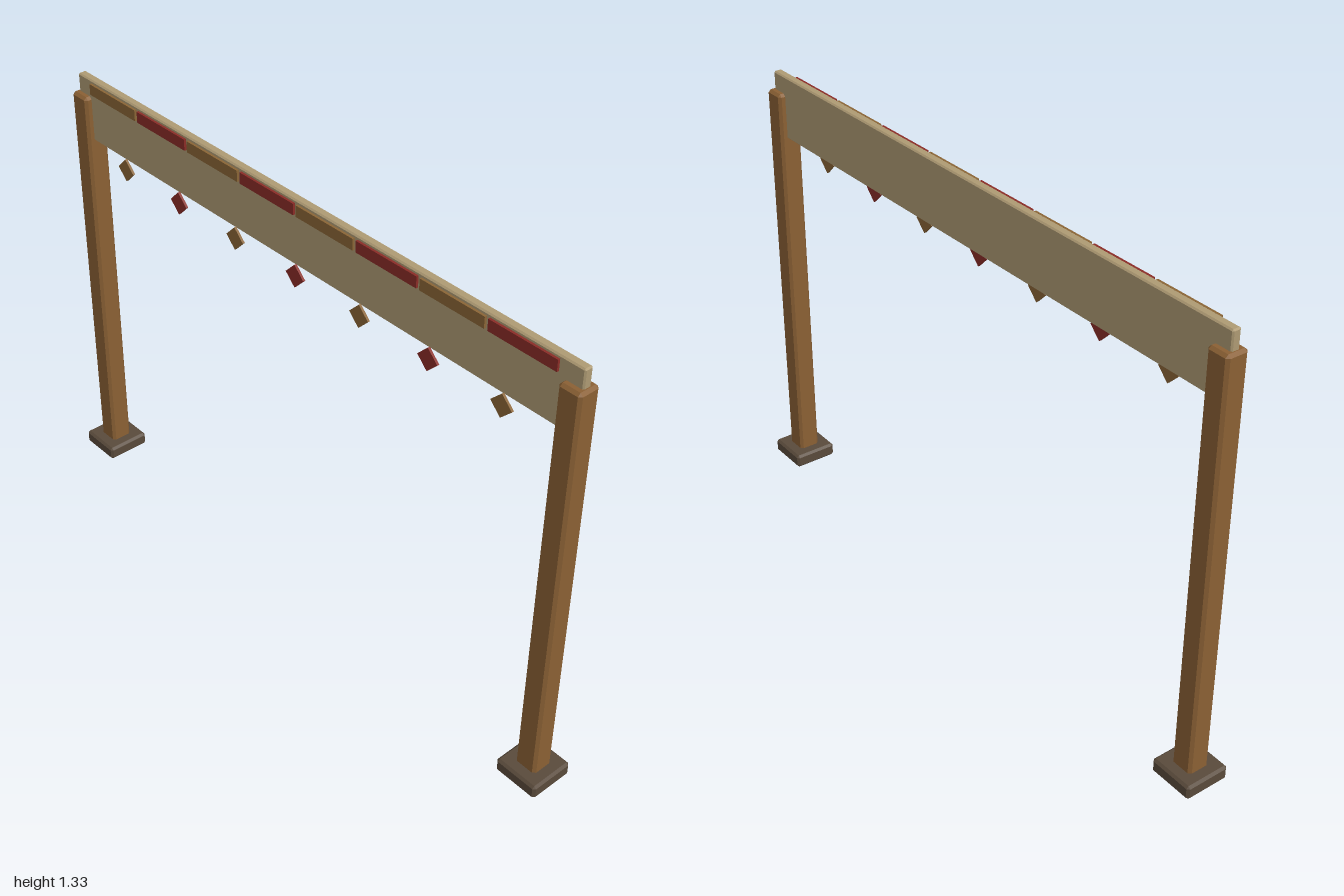
import * as THREE from 'three';
import { ConvexGeometry } from 'three/addons/geometries/ConvexGeometry.js';

const material = (name, color) => new THREE.MeshStandardMaterial({ name, color });

// Box with every edge cut off by a small chamfer c
function chamferBox(w, h, d, c) {
  const points = [];
  for (const x of [-1, 1]) for (const y of [-1, 1]) for (const z of [-1, 1]) {
    for (let full = 0; full < 3; full++) {
      const inset = (size, axis) => size / 2 - (axis === full ? 0 : c);
      points.push(new THREE.Vector3(x * inset(w, 0), y * inset(h, 1), z * inset(d, 2)));
    }
  }
  return new ConvexGeometry(points);
}

export function createModel() {
  const wood = material('post wood', 0x8a6034);
  const paleWood = material('pale beam wood', 0xae9a73);
  const stone = material('dark stone', 0x594a3b);
  const red = material('red paint', 0x8a2d27);
  const ochre = material('ochre paint', 0x8a6536);

  const model = new THREE.Group();
  model.name = 'beamGate';
  const add = (name, geometry, mat, x, y, z) => {
    const mesh = new THREE.Mesh(geometry, mat);
    mesh.name = name;
    mesh.position.set(x, y, z);
    model.add(mesh);
    return mesh;
  };

  // Two posts on square footings
  const footing = chamferBox(0.137, 0.043, 0.137, 0.007);
  const post = chamferBox(0.066, 1.262, 0.068, 0.008);
  for (const [side, s] of [['front', 1], ['back', -1]]) {
    add(side + 'Footing', footing, stone, 0, 0.0215, s * 0.9315);
    add(side + 'Post', post, wood, 0, 0.641, s * 0.9315);
  }

  // Wide plank spanning the posts
  add('beam', chamferBox(0.026, 0.193, 1.91, 0.004), paleWood, 0, 1.23, 0);

  // Row of painted strips along the top of the beam's right face
  const strip = new THREE.BoxGeometry(0.007, 0.033, 0.212);
  for (let i = 0; i < 8; i++) {
    add('strip' + (i + 1), strip, i % 2 ? red : ochre, -0.0205, 1.304, (i - 3.5) * 0.2225);
  }

  // Diamond pendants under the beam
  const diamond = new THREE.BoxGeometry(0.007, 0.049, 0.049);
  for (let i = 0; i < 7; i++) {
    const mesh = add('pendant' + (i + 1), diamond, i % 2 ? red : ochre, -0.0205, 1.109, (i - 3) * 0.2445);
    mesh.rotation.x = Math.PI / 4;
  }

  return model;
}
